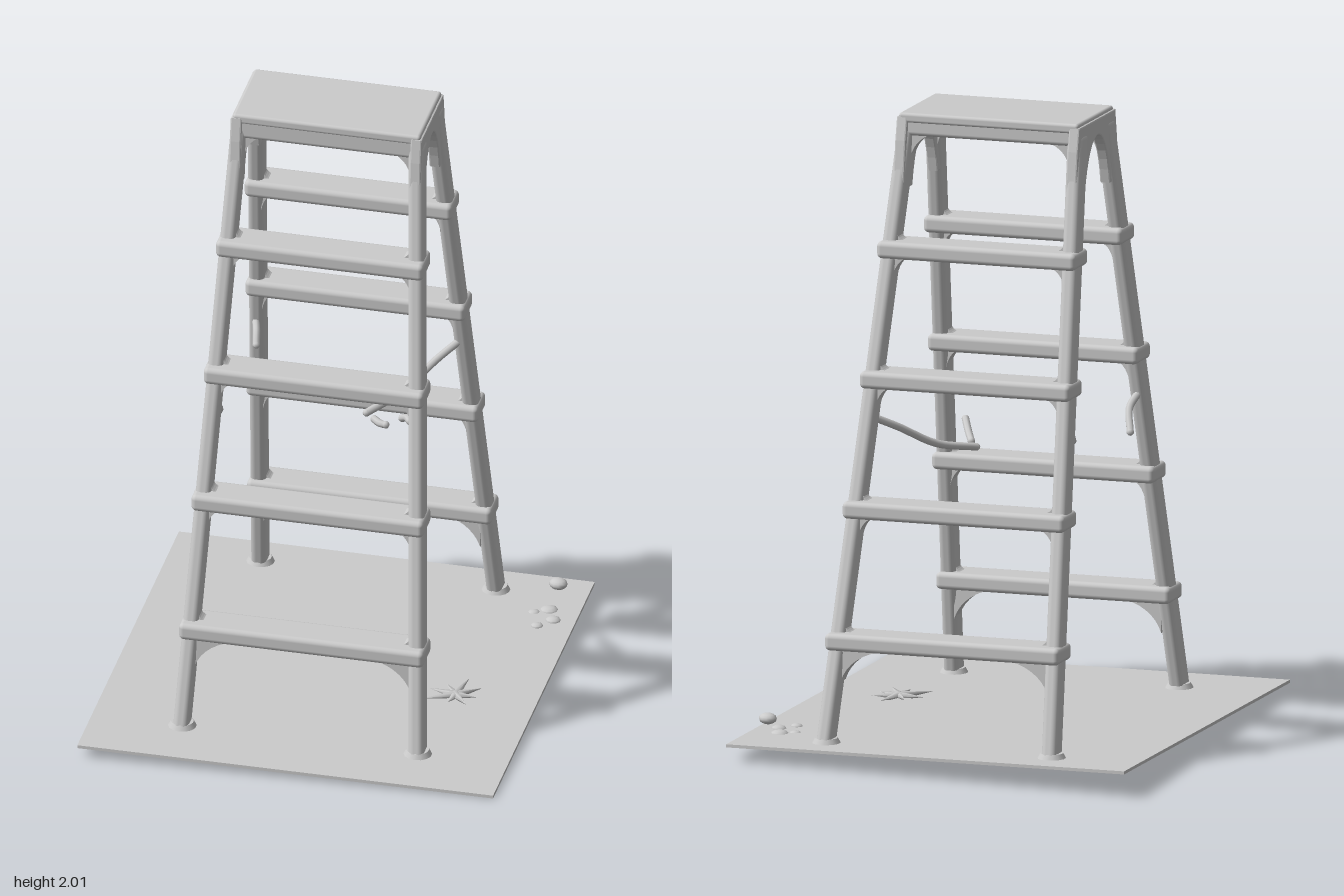
import * as THREE from 'three';
import { RoundedBoxGeometry } from 'three/addons/geometries/RoundedBoxGeometry.js';

const mat = new THREE.MeshStandardMaterial({ color: 0xcccccc, side: THREE.DoubleSide });
const TOP = 1.95, FOOT = 0.02;

// slight lean of the floor and everything standing on it: y falls along +x and +z
const lean = new THREE.Matrix4().set(
  1, 0, 0, 0,
  -0.024, 1, -0.031, 0,
  0, 0, 1, 0,
  0, 0, 0, 1);

function add(parent, name, geo, leaning = true) {
  if (leaning) geo.applyMatrix4(lean);
  const mesh = new THREE.Mesh(geo, mat);
  mesh.name = name;
  parent.add(mesh);
  return mesh;
}

// centre of a rail at height y; frame is +1 front, -1 back; side is +1 or -1
function railAt(y, frame, side) {
  const t = (TOP - y) / (TOP - FOOT);
  const z = frame > 0 ? 0.1 + 0.42 * t : -0.13 - 0.48 * t;
  return new THREE.Vector3(side * (0.283 + 0.095 * t), y, z);
}

// rounded box sheared to run from a up to b, ends kept level
function rail(a, b, w, d) {
  const h = b.y - a.y;
  const geo = new RoundedBoxGeometry(w, h, d, 3, 0.019);
  const axis = b.clone().sub(a).divideScalar(h);
  const m = new THREE.Matrix4().makeBasis(new THREE.Vector3(1, 0, 0), axis, new THREE.Vector3(0, 0, 1));
  return geo.applyMatrix4(m.setPosition(a.clone().add(b).multiplyScalar(0.5)));
}

// concave corner fillet: sx points away from the rail, sy away from the step
function fillet(x, y, z, sx, sy, rx, ry, depth) {
  const s = new THREE.Shape();
  s.moveTo(0, 0);
  s.lineTo(sx * rx, 0);
  s.quadraticCurveTo(sx * rx * 0.18, sy * ry * 0.18, 0, sy * ry);
  s.closePath();
  return new THREE.ExtrudeGeometry(s, { depth, bevelEnabled: false, curveSegments: 8 })
    .translate(x, y, z - depth / 2);
}

// one ladder frame: two rails, four treads and their corner fillets
function ladderFrame(frame) {
  const g = new THREE.Group();
  g.name = frame > 0 ? 'frontLadder' : 'backLadder';
  for (const side of [-1, 1])
    add(g, 'rail', rail(railAt(FOOT, frame, side), railAt(TOP, frame, side), 0.05, 0.074));

  [0.36, 0.765, 1.165, 1.565].forEach((y, i) => {
    const p = railAt(y, frame, 1);
    add(g, 'step', new RoundedBoxGeometry((p.x + 0.03) * 2, 0.055, 0.125, 3, 0.016).translate(0, y, p.z));
    for (const side of [-1, 1]) {
      const x = side * (p.x - 0.015);
      const low = i === 0;
      add(g, 'stepBracket', fillet(x, y - 0.02, p.z + frame * 0.01, -side, -1, low ? 0.16 : 0.06, low ? 0.11 : 0.07, 0.045));
      add(g, 'stepBracket', fillet(x, y + 0.02, p.z - frame * 0.005, -side, 1, 0.045, 0.045, 0.04));
    }
  });

  // fillets under the cap
  for (const side of [-1, 1]) {
    const p = railAt(1.92, frame, side);
    add(g, 'capBracket', fillet(p.x - side * 0.015, 1.92, p.z, -side, -1, 0.08, 0.09, 0.04));
  }
  return g;
}

// cap: flat platform, lips front and back, arched cheek on each side
function topCap() {
  const g = new THREE.Group();
  g.name = 'topCap';
  add(g, 'platform', new RoundedBoxGeometry(0.6, 0.032, 0.315, 3, 0.01).translate(0, 1.971, -0.017));
  add(g, 'frontLip', new RoundedBoxGeometry(0.6, 0.082, 0.05, 3, 0.014).translate(0, 1.945, 0.113));
  add(g, 'backLip', new RoundedBoxGeometry(0.6, 0.07, 0.05, 3, 0.014).translate(0, 1.948, -0.145));

  const s = new THREE.Shape();
  s.moveTo(-0.138, 1.97);
  s.lineTo(-0.15, 1.9);
  s.lineTo(-0.165, 1.75);
  s.lineTo(-0.1, 1.75);
  s.bezierCurveTo(-0.06, 1.985, 0.08, 1.985, 0.13, 1.75);
  s.lineTo(0.205, 1.75);
  s.lineTo(0.185, 1.9);
  s.lineTo(0.17, 1.97);
  s.closePath();
  for (const side of [-1, 1]) {
    const geo = new THREE.ExtrudeGeometry(s, {
      depth: 0.026, bevelEnabled: true, bevelSize: 0.005, bevelThickness: 0.005, bevelSegments: 2, curveSegments: 16
    });
    add(g, 'cheek', geo.translate(0, 0, -0.013).rotateY(Math.PI / 2).translate(side * 0.288, 0, 0));
  }
  return g;
}

// thin floor slab with a foot collar at each rail
function floor() {
  const g = new THREE.Group();
  g.name = 'floor';
  add(g, 'floorSlab', new THREE.BoxGeometry(1.33, 0.01, 1.45).translate(0, 0.037, 0));
  for (const frame of [-1, 1]) for (const side of [-1, 1]) {
    const p = railAt(0.05, frame, side);
    add(g, 'footCollar', new THREE.CylinderGeometry(0.036, 0.046, 0.018, 14).translate(p.x, 0.049, p.z));
  }
  return g;
}

// broken spreader bars hanging beside the rails
function spreaders() {
  const g = new THREE.Group();
  g.name = 'spreaderBars';
  const bars = [
    [[0.17, 1.04, -0.43], [0.14, 1.0, -0.35], [0.1, 0.93, -0.22], [0.06, 0.9, -0.08]],
    [[0.11, 0.905, -0.05], [0.16, 0.92, -0.01], [0.21, 0.945, 0.03]],
    [[-0.2, 1.04, 0.39], [-0.22, 1.0, 0.32], [-0.27, 0.94, 0.27]],
    [[-0.43, 1.04, -0.18], [-0.4, 1.03, -0.14], [-0.38, 1.0, -0.11]],
    [[0.35, 1.025, 0.1], [0.33, 1.025, 0.085], [0.3, 1.01, 0.07]]
  ];
  for (const pts of bars) {
    const curve = new THREE.CatmullRomCurve3(pts.map(p => new THREE.Vector3(...p)));
    add(g, 'spreader', new THREE.TubeGeometry(curve, 16, 0.012, 8), false);
    for (const p of [pts[0], pts[pts.length - 1]])
      add(g, 'spreaderEnd', new THREE.SphereGeometry(0.012, 8, 6).translate(...p), false);
  }
  return g;
}

// low debris on the floor: a splayed tuft, lumps and a pebble
function debris() {
  const g = new THREE.Group();
  g.name = 'debris';
  for (let i = 0; i < 8; i++) {
    const a = i * Math.PI / 4 + 0.2, r = 0.07 + 0.02 * (i % 3);
    const geo = new THREE.ConeGeometry(0.014, r, 6).translate(0, r / 2, 0).rotateZ(-1.5).rotateY(a);
    add(g, 'tuftBlade', geo.translate(0.42, 0.032, -0.05), false);
  }
  for (const [x, z, r] of [[0.33, -0.69, 0.03], [0.38, -0.64, 0.025], [0.36, -0.58, 0.02], [0.3, -0.65, 0.02]])
    add(g, 'lump', new THREE.SphereGeometry(r, 10, 6).scale(1, 0.5, 1).translate(x, 0.04, z), false);
  add(g, 'pebble', new THREE.SphereGeometry(0.03, 12, 8).scale(1, 0.6, 0.9).translate(0.32, 0.105, -0.755), false);
  return g;
}

export function createModel() {
  const root = new THREE.Group();
  root.name = 'stepladder';
  const turned = new THREE.Group();
  turned.name = 'ladderOnFloor';
  turned.rotation.y = 0.388;
  turned.add(ladderFrame(1), ladderFrame(-1), topCap(), floor());
  root.add(turned, spreaders(), debris());
  return root;
}
